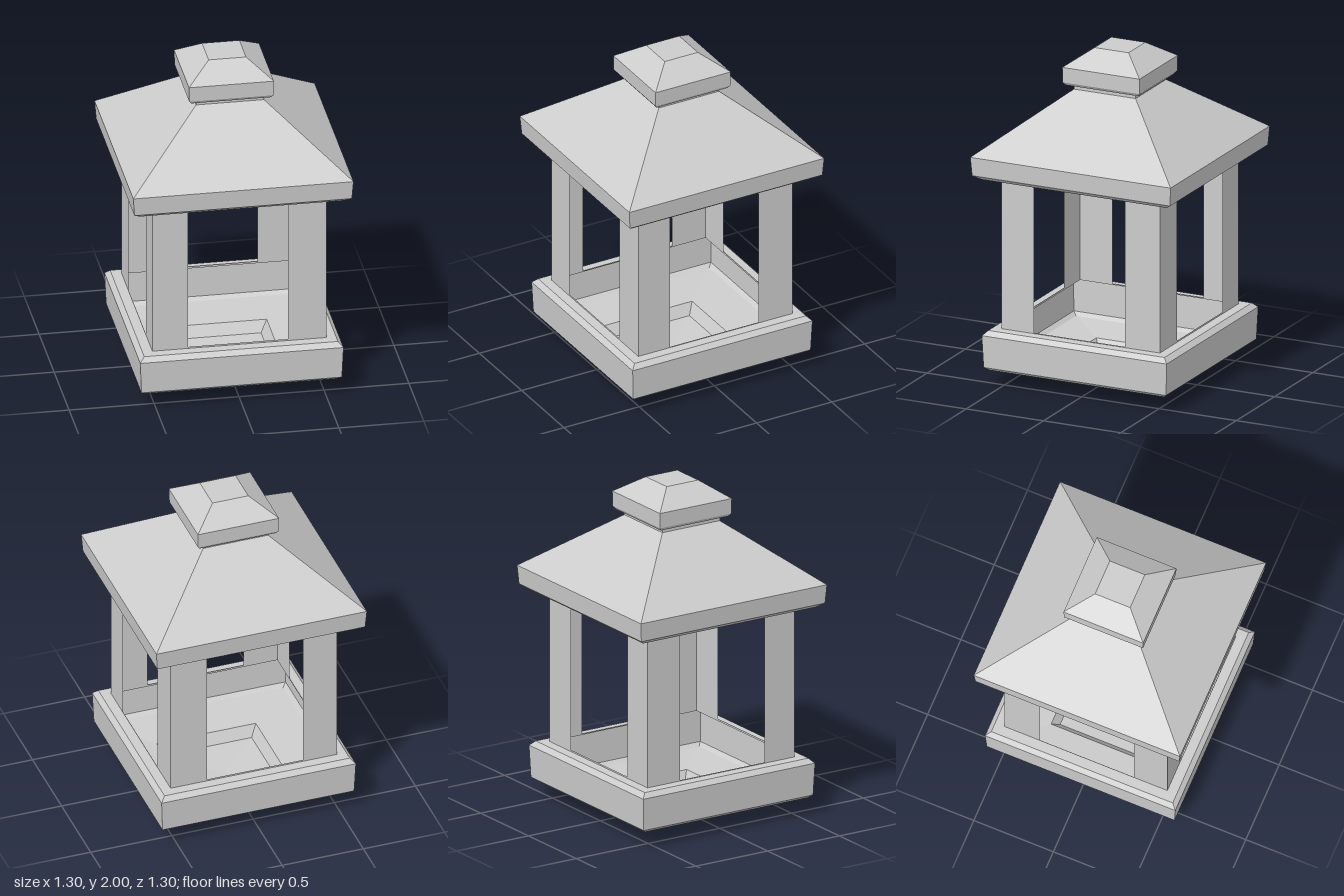
import * as THREE from 'three';

const stone = new THREE.MeshStandardMaterial({ color: 0xcccccc, side: THREE.DoubleSide, flatShading: true });
stone.name = 'stone grey';

// Square shell from a profile of [half width, height], listed bottom to top
function squareShell(name, profile) {
  const points = profile.map(([r, y]) => new THREE.Vector2(r * Math.SQRT2, y));
  const geometry = new THREE.LatheGeometry(points, 4, Math.PI / 4).toNonIndexed();
  geometry.computeVertexNormals();
  const mesh = new THREE.Mesh(geometry, stone);
  mesh.name = name;
  return mesh;
}

// Thin wall with a window opening that leaves two corner posts
function windowWall(name, bottom, top) {
  const rect = (Type, x0, y0, x1, y1) => new Type([
    new THREE.Vector2(x0, y0), new THREE.Vector2(x1, y0),
    new THREE.Vector2(x1, y1), new THREE.Vector2(x0, y1),
  ]);
  const shape = rect(THREE.Shape, -0.512, 0.343, 0.512, 1.258);
  shape.holes.push(rect(THREE.Path, -0.303, bottom, 0.287, top));
  const mesh = new THREE.Mesh(new THREE.ShapeGeometry(shape), stone);
  mesh.name = name;
  return mesh;
}

export function createModel() {
  const lantern = new THREE.Group();
  lantern.name = 'lantern';

  // Hollow base tray with its sunken foot
  lantern.add(squareShell('base', [
    [0, 0], [0.265, 0.015], [0.305, 0.08], [0.565, 0.1], [0.59, 0.12],
    [0.598, 0.315], [0.57, 0.343], [0.512, 0.345],
  ]));

  // Four open walls
  for (const side of [1, -1]) {
    const end = windowWall(side > 0 ? 'frontWall' : 'backWall', 0.355, 1.235);
    end.position.z = side * 0.512;
    const flank = windowWall(side > 0 ? 'leftWall' : 'rightWall', 0.35, 1.247);
    flank.rotation.y = Math.PI / 2;
    flank.position.x = side * 0.512;
    lantern.add(end, flank);
  }

  // Hollow roof with eaves and neck
  lantern.add(squareShell('roof', [
    [0.512, 1.256], [0.6, 1.268], [0.64, 1.297], [0.648, 1.41], [0.2, 1.76], [0.2, 1.785],
  ]));

  // Cap with a flat top
  lantern.add(squareShell('cap', [
    [0.2, 1.785], [0.235, 1.79], [0.248, 1.808], [0.25, 1.9], [0.11, 2], [0, 2],
  ]));

  return lantern;
}
